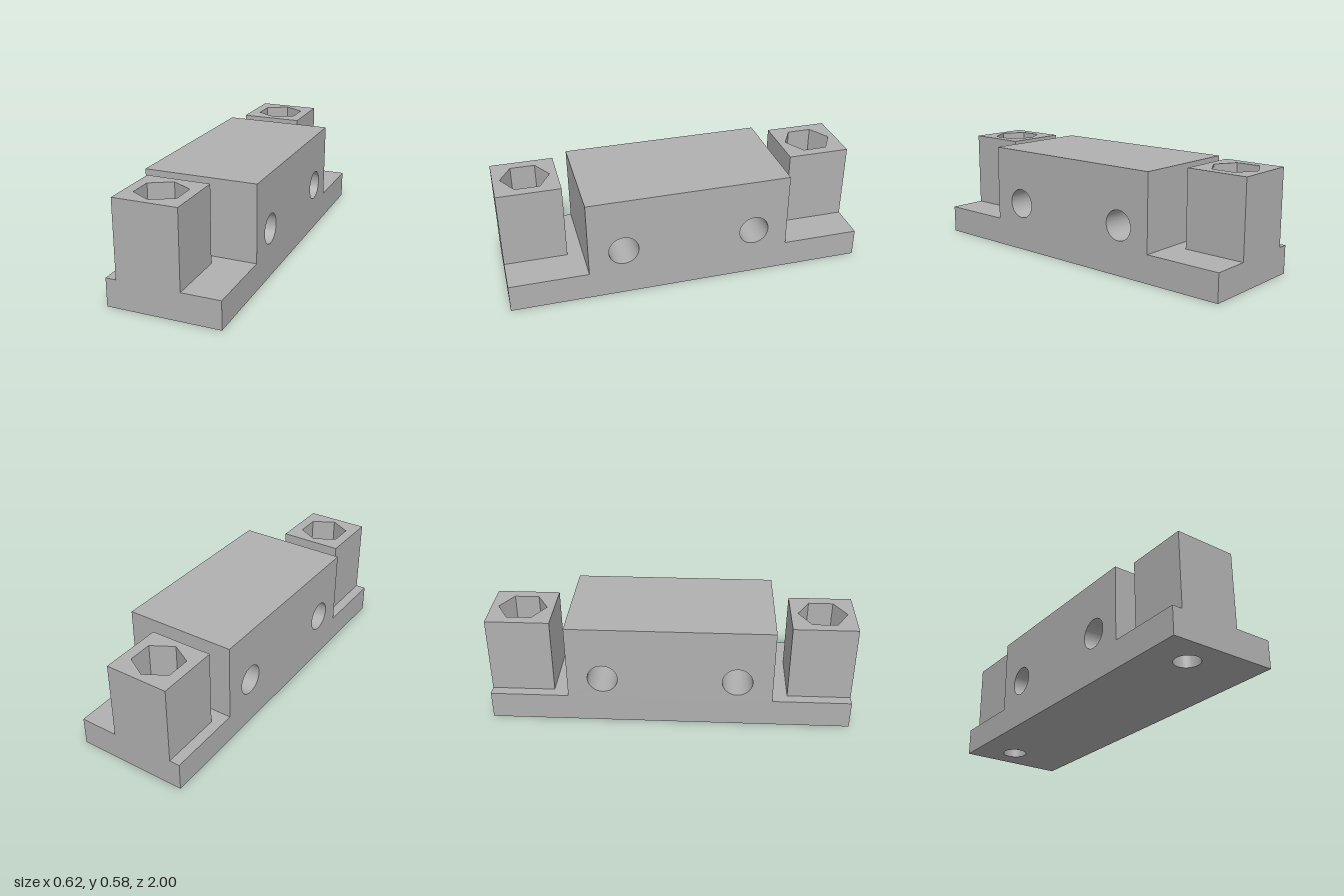
import * as THREE from 'three';
import { toCreasedNormals } from 'three/addons/utils/BufferGeometryUtils.js';

const HALF_X = 0.311, HALF_Z = 1;
const BASE_H = 0.156, TOP = 0.585;
const BOLT_X = -0.078, BOLT_Z = 0.825;

const rectangle = (x0, y0, x1, y1) => new THREE.Shape([
  new THREE.Vector2(x0, y0), new THREE.Vector2(x1, y0),
  new THREE.Vector2(x1, y1), new THREE.Vector2(x0, y1),
]);

const circleHole = (x, y, r) => new THREE.Path().absarc(x, y, r, 0, Math.PI * 2, true);

// Hexagon with corners pointing along the second axis
const hexHole = (x, y, r) => new THREE.Path(Array.from({ length: 6 }, (_, i) => {
  const a = Math.PI / 2 - i * Math.PI / 3;
  return new THREE.Vector2(x + r * Math.cos(a), y + r * Math.sin(a));
}));

const extrude = (shape, depth) => toCreasedNormals(
  new THREE.ExtrudeGeometry(shape, { depth, bevelEnabled: false, curveSegments: 48 }), 0.5);

export function createModel() {
  const model = new THREE.Group();
  const grey = new THREE.MeshStandardMaterial({ color: 0xb0b0b0 });
  grey.name = 'grey';

  const add = (name, geometry) => {
    const mesh = new THREE.Mesh(geometry, grey);
    mesh.name = name;
    model.add(mesh);
  };

  // Base plate with two vertical bolt holes
  const base = rectangle(-HALF_X, -HALF_Z, HALF_X, HALF_Z);
  for (const s of [-1, 1]) base.holes.push(circleHole(BOLT_X, s * BOLT_Z, 0.07));
  add('basePlate', extrude(base, BASE_H).rotateX(-Math.PI / 2));

  // Centre block with two cross holes running side to side
  const block = rectangle(-0.565, BASE_H, 0.565, TOP);
  for (const s of [-1, 1]) block.holes.push(circleHole(s * 0.37, 0.275, 0.083));
  add('centreBlock', extrude(block, HALF_X * 2).rotateY(Math.PI / 2).translate(-HALF_X, 0, 0));

  // Square posts with hexagonal sockets above the bolt holes
  for (const [name, s] of [['frontPost', -1], ['backPost', 1]]) {
    const post = rectangle(-0.253, Math.min(s * 0.65, s), 0.097, Math.max(s * 0.65, s));
    post.holes.push(hexHole(BOLT_X, s * BOLT_Z, 0.135));
    add(name, extrude(post, TOP - BASE_H).rotateX(-Math.PI / 2).translate(0, BASE_H, 0));
  }

  return model;
}
